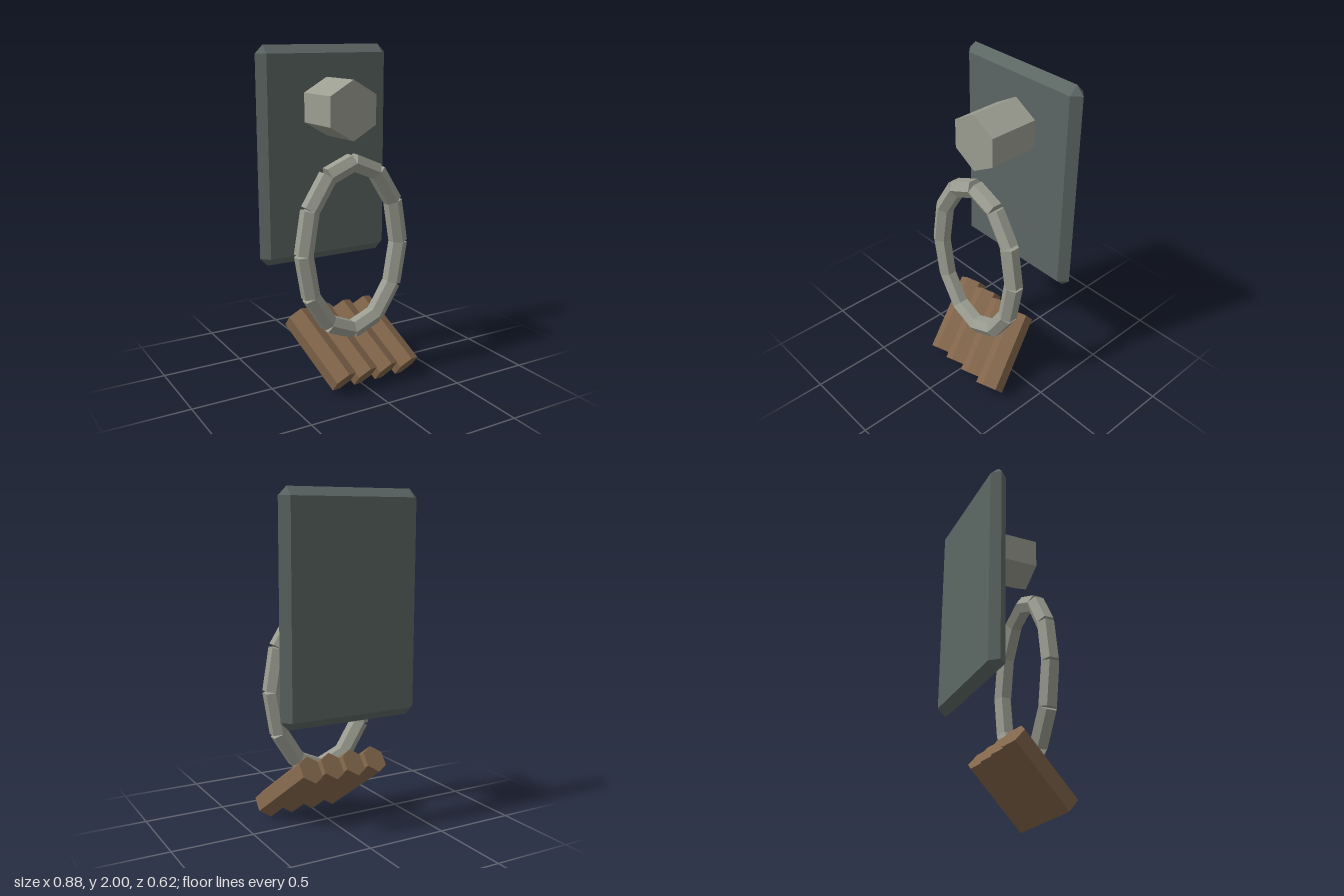
import * as THREE from 'three';
import { ConvexGeometry } from 'three/addons/geometries/ConvexGeometry.js';

const mat = (color) => new THREE.MeshStandardMaterial({ color, flatShading: true });

export function createModel() {
  const model = new THREE.Group();
  const slate = mat(0x5c6764), metal = mat(0x9b9d91), wood = mat(0x83674c);

  const add = (name, geometry, material, parent = model) => {
    const mesh = new THREE.Mesh(geometry, material);
    mesh.name = name;
    parent.add(mesh);
    return mesh;
  };

  // Back plate: a slab whose edges are bevelled to a ridge, with cut corners
  const hx = 0.44, hy = 0.66, b = 0.05;
  const corners = [];
  for (const sx of [-1, 1]) for (const sy of [-1, 1]) {
    corners.push(
      new THREE.Vector3(sx * (hx - b), sy * (hy - b), b),
      new THREE.Vector3(sx * (hx - b), sy * (hy - b), -b),
      new THREE.Vector3(sx * hx, sy * (hy - b), 0),
      new THREE.Vector3(sx * (hx - b), sy * hy, 0),
    );
  }
  add('backPlate', new ConvexGeometry(corners), slate).position.set(0, 1.34, -0.26);

  // Hexagonal peg standing out from the plate, one corner up
  const peg = add('peg', new THREE.CylinderGeometry(0.175, 0.175, 0.325, 6), metal);
  peg.rotation.x = Math.PI / 2;
  peg.position.set(0, 1.635, -0.0575);

  // Oval ring of twelve straight hexagonal links
  const ring = new THREE.Group();
  ring.name = 'ring';
  ring.position.set(0, 0.825, 0.094);
  model.add(ring);
  const joint = (i) => {
    const t = (i / 12) * Math.PI * 2;
    return new THREE.Vector3(0.325 * Math.sin(t), 0.515 * Math.cos(t), 0);
  };
  for (let i = 0; i < 12; i++) {
    const p = joint(i), q = joint(i + 1);
    const link = add('ringLink', new THREE.CylinderGeometry(0.057, 0.057, p.distanceTo(q), 6), metal, ring);
    link.position.copy(p).add(q).multiplyScalar(0.5);
    link.rotation.z = Math.atan2(p.x - q.x, q.y - p.y);
  }

  // Four slanted hexagonal bars side by side at the foot of the ring
  const bars = new THREE.Group();
  bars.name = 'woodenBars';
  model.add(bars);
  const axis = new THREE.Vector3(-0.24, 0.62, -0.745).normalize();
  const ridge = new THREE.Vector3(0, 0.745, 0.62).normalize();
  const side = new THREE.Vector3().crossVectors(axis, ridge);
  const turn = new THREE.Matrix4().makeBasis(side, axis, ridge);
  for (let i = 0; i < 4; i++) {
    const bar = add('woodenBar', new THREE.CylinderGeometry(0.0875, 0.0875, 0.5, 6), wood, bars);
    bar.quaternion.setFromRotationMatrix(turn);
    bar.position.set(-0.208 + 0.147 * i, 0.222, 0.07);
  }

  return model;
}
